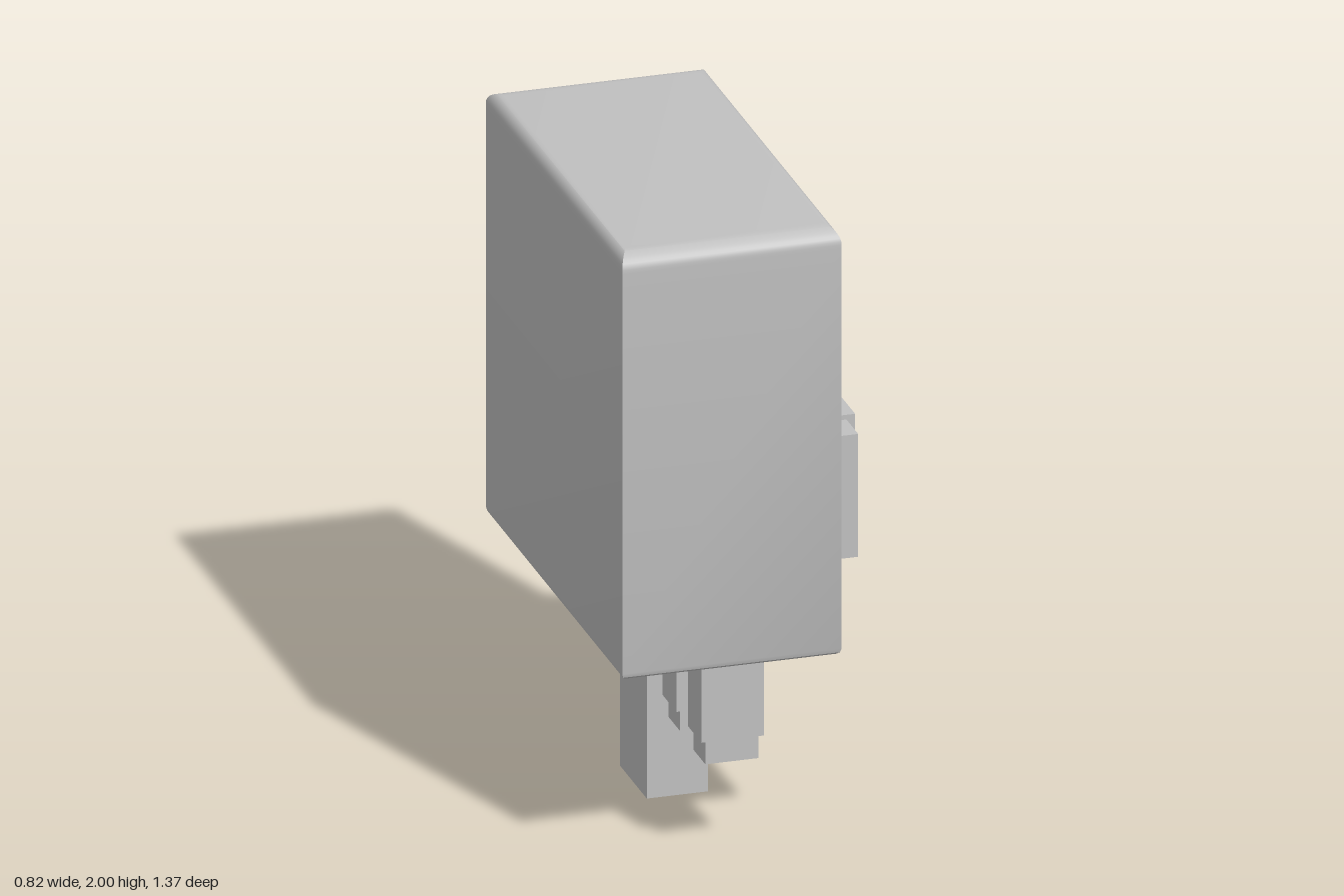
import * as THREE from 'three';
import { toCreasedNormals } from 'three/addons/utils/BufferGeometryUtils.js';

const grey = new THREE.MeshStandardMaterial({ color: 0xc0c0c0 });
grey.name = 'plain grey';

// Skin a stack of four-cornered rings, each counter-clockwise seen from the last ring's side
function loft(rings) {
  const pos = [];
  const quad = (a, b, c, d) => pos.push(...a, ...b, ...c, ...a, ...c, ...d);
  for (let i = 0; i < rings.length - 1; i++) {
    const lo = rings[i], hi = rings[i + 1];
    for (let k = 0; k < 4; k++) {
      const n = (k + 1) % 4;
      quad(lo[k], lo[n], hi[n], hi[k]);
    }
  }
  const first = rings[0], last = rings[rings.length - 1];
  quad(first[3], first[2], first[1], first[0]);
  quad(...last);
  const geo = new THREE.BufferGeometry();
  geo.setAttribute('position', new THREE.Float32BufferAttribute(pos, 3));
  return toCreasedNormals(geo, 0.45);
}

function add(parent, name, geometry) {
  const mesh = new THREE.Mesh(geometry, grey);
  mesh.name = name;
  parent.add(mesh);
  return mesh;
}

// Box given by its limits on each axis
function block(parent, name, [x0, x1], [y0, y1], [z0, z1]) {
  const mesh = add(parent, name, new THREE.BoxGeometry(x1 - x0, y1 - y0, z1 - z0));
  mesh.position.set((x0 + x1) / 2, (y0 + y1) / 2, (z0 + z1) / 2);
}

// Horizontal ring of the housing, drawn in by ix and iz
function bodyRing(y, ix, iz) {
  const x0 = -0.413 + ix, x1 = 0.27 - ix, z = 0.685 - iz;
  return [[x0, y, z], [x1, y, z], [x1, y, -z], [x0, y, -z]];
}

// Upright ring at x: bottom and top heights at the +z and -z ends
function sideRing(x, zLeft, zRight, [bl, tl], [br, tr]) {
  return [[x, bl, zLeft], [x, br, zRight], [x, tr, zRight], [x, tl, zLeft]];
}

export function createModel() {
  const model = new THREE.Group();
  model.name = 'relay';

  // Housing with mitred, rounded top edges and a fine bottom bevel
  const rings = [
    bodyRing(0.635, 0.012, 0.012), bodyRing(0.642, 0.004, 0.004),
    bodyRing(0.655, 0, 0), bodyRing(1.94, 0, 0),
  ];
  const steps = 8;
  for (let i = 0; i <= steps; i++) {
    const a = (i / steps) * Math.PI / 2;
    const inset = 1 - Math.cos(a);
    rings.push(bodyRing(1.953 + 0.047 * Math.sin(a), 0.035 * inset, 0.075 * inset));
  }
  add(model, 'housing', loft(rings));

  // Mounting clip on the +x side
  const clip = new THREE.Group();
  clip.name = 'clip';
  model.add(clip);
  block(clip, 'clipPlate', [0.33, 0.412], [0.86, 1.265], [-0.368, 0.362]);
  block(clip, 'clipEndLeft', [0.33, 0.385], [0.855, 1.25], [0.362, 0.48]);
  block(clip, 'clipEndRight', [0.33, 0.385], [0.855, 1.255], [-0.48, -0.362]);
  add(clip, 'clipBase', loft([
    sideRing(0.262, 0.365, -0.365, [1.0, 1.318], [1.0, 1.318]),
    sideRing(0.331, 0.365, -0.365, [0.86, 1.265], [0.86, 1.265]),
  ]));
  add(clip, 'clipWingLeft', loft([
    sideRing(0.265, 0.48, 0.365, [1.06, 1.54], [0.97, 1.315]),
    sideRing(0.331, 0.48, 0.365, [0.855, 1.25], [0.825, 1.25]),
  ]));
  add(clip, 'clipWingRight', loft([
    sideRing(0.265, -0.362, -0.48, [0.95, 1.315], [1.0, 1.54]),
    sideRing(0.331, -0.362, -0.48, [0.79, 1.255], [0.825, 1.255]),
  ]));

  // Four stepped pins: centre in z and height of the tip
  const pins = [[0.547, 0.30], [0.295, 0.307], [-0.296, 0.31], [-0.546, 0.322]];
  for (const [z, tip] of pins) {
    block(model, 'pin', [-0.145, 0.05], [0.375, 0.64], [z - 0.069, z + 0.069]);
    block(model, 'pinTip', [-0.13, 0.035], [tip, 0.376], [z - 0.059, z + 0.059]);
  }

  // Large middle terminal with its narrower neck
  block(model, 'terminalNeck', [-0.13, 0.02], [0.41, 0.62], [-0.112, 0.07]);
  block(model, 'terminal', [-0.16, 0.03], [0, 0.413], [-0.155, 0.115]);

  return model;
}
